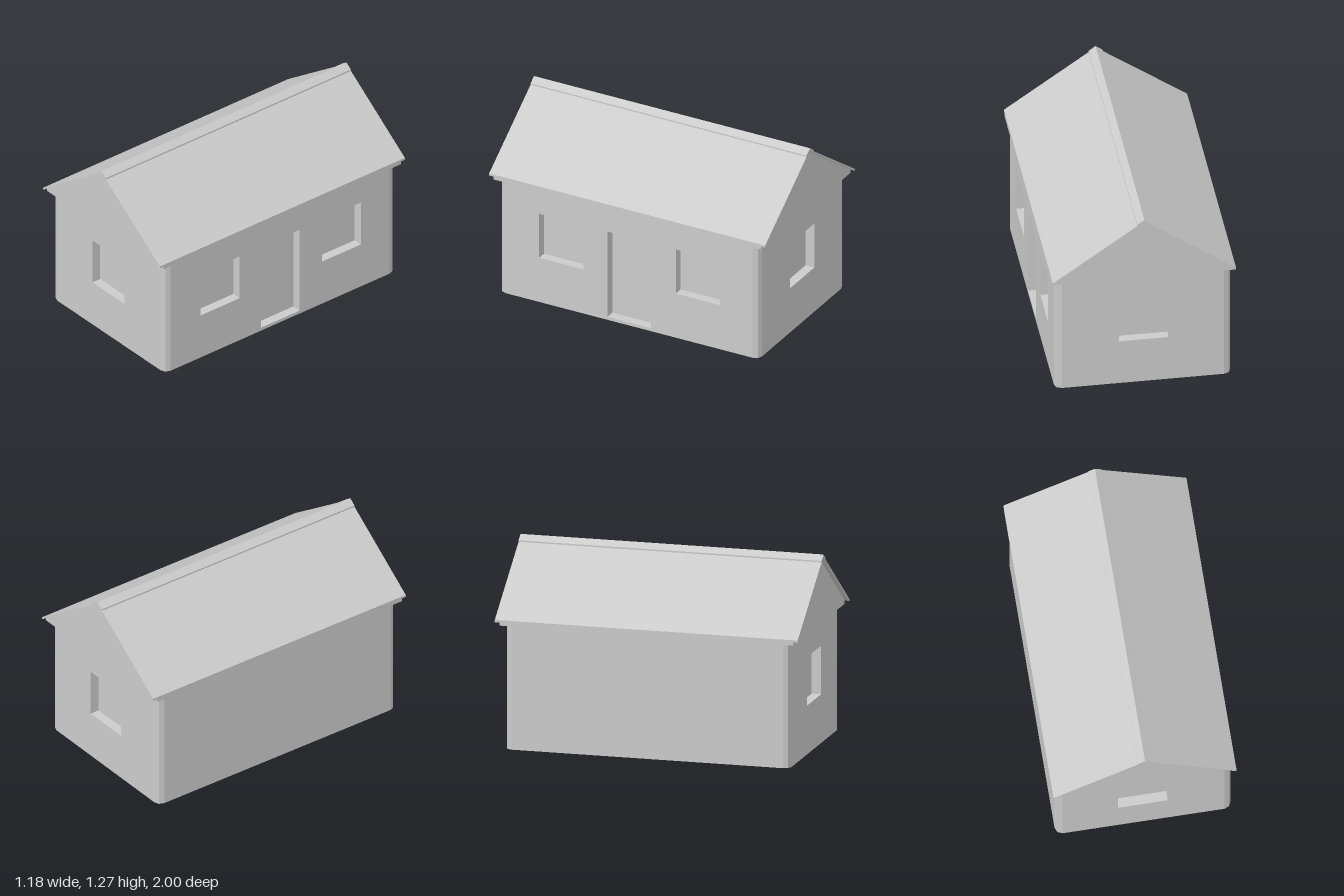
import * as THREE from 'three';

const HX = 0.565, HZ = 0.94;      // half size of the walls
const R = 0.045;                  // corner radius
const D = 0.063;                  // depth of window and door recesses
const WALL_H = 0.81;

const material = new THREE.MeshStandardMaterial({ color: 0xcccccc, flatShading: true });

function polygon(points) {
  return new THREE.Shape(points.map(([x, y]) => new THREE.Vector2(x, y)));
}

function rect(x0, x1, y0, y1) {
  return [[x0, y0], [x1, y0], [x1, y1], [x0, y1]];
}

function extrude(shape, depth) {
  return new THREE.ExtrudeGeometry(shape, { depth, bevelEnabled: false });
}

export function createModel() {
  const house = new THREE.Group();
  house.name = 'house';

  const add = (name, geometry, parent = house) => {
    const mesh = new THREE.Mesh(geometry, material);
    mesh.name = name;
    parent.add(mesh);
    return mesh;
  };

  // Walls: a solid core whose faces are the backs of the recesses
  const walls = new THREE.Group();
  walls.name = 'walls';
  house.add(walls);
  const core = new THREE.BoxGeometry(2 * (HX - D), WALL_H, 2 * (HZ - D));
  add('wallCore', core.translate(0, WALL_H / 2, 0), walls);

  // Outer wall panels with openings [u0, u1, y0, y1]
  const wallPanel = (name, halfWidth, distance, angle, openings) => {
    const shape = polygon(rect(-halfWidth, halfWidth, 0, WALL_H));
    for (const o of openings) shape.holes.push(polygon(rect(...o)));
    const geometry = extrude(shape, D).translate(0, 0, distance - D);
    add(name, geometry.rotateY(angle), walls);
  };
  const endWindow = [-0.165, 0.155, 0.318, 0.635];
  const backWindow = [-0.155, 0.165, 0.318, 0.635];
  const sideOpenings = [
    [-0.65, -0.33, 0.318, 0.635],   // front window
    [-0.155, 0.16, 0.022, 0.635],   // door
    [0.34, 0.66, 0.318, 0.635],     // rear window
  ];
  wallPanel('frontWall', HX - D, HZ, 0, [endWindow]);
  wallPanel('backWall', HX - D, HZ, Math.PI, [backWindow]);
  wallPanel('doorWall', HZ - D, HX, Math.PI / 2, sideOpenings);
  wallPanel('blankWall', HZ - D, HX, -Math.PI / 2, []);

  // Wall corners, rounded in two facets
  const k = R * (1 - Math.SQRT1_2);
  const corner = [
    [HX - D, HZ - D], [HX, HZ - D], [HX, HZ - R],
    [HX - k, HZ - k], [HX - R, HZ], [HX - D, HZ],
  ];
  for (const sx of [-1, 1]) {
    for (const sz of [-1, 1]) {
      const shape = polygon(corner.map(([x, z]) => [x * sx, z * sz]));
      add('wallCorner', extrude(shape, WALL_H).rotateX(-Math.PI / 2), walls);
    }
  }

  // Roof: symmetrical sections swept along z
  const roof = new THREE.Group();
  roof.name = 'roof';
  house.add(roof);
  const sweep = (name, points, halfLength) =>
    add(name, extrude(polygon(points), 2 * halfLength).translate(0, 0, -halfLength), roof);

  sweep('gable', [
    [-0.588, 0.81], [0.588, 0.81], [0.588, 0.83], [0, 1.247], [-0.588, 0.83],
  ], 0.97);
  sweep('roofSheet', [
    [0.588, 0.83], [0.588, 0.845], [0, 1.26], [-0.588, 0.845], [-0.588, 0.83], [0, 1.247],
  ], 1);
  sweep('ridgeCap', [
    [0.045, 1.228], [0.045, 1.238], [0, 1.27], [-0.045, 1.238], [-0.045, 1.228], [0, 1.26],
  ], 1);

  return house;
}
